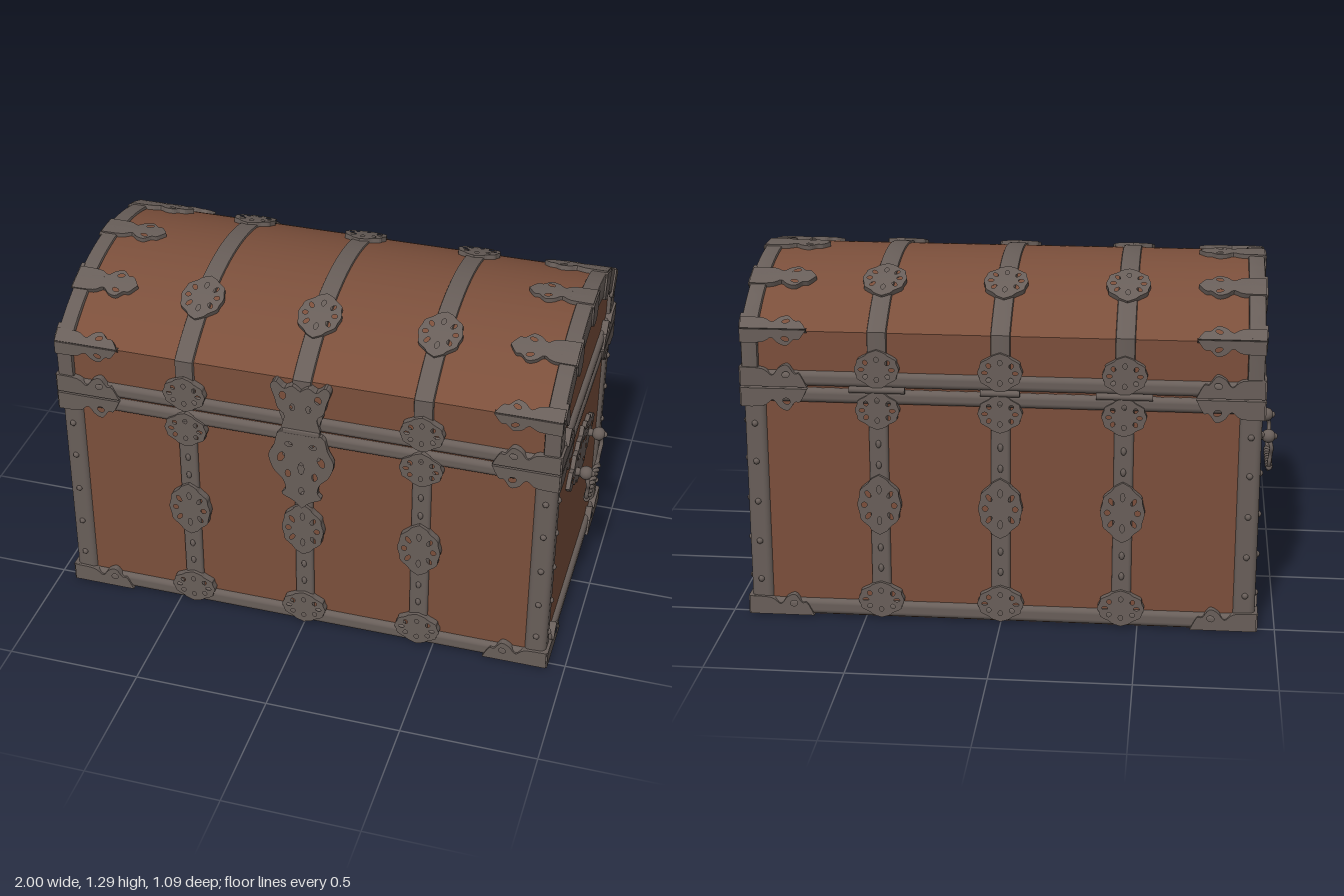
import * as THREE from 'three';
import { mergeGeometries, toCreasedNormals } from 'three/addons/utils/BufferGeometryUtils.js';
import { RoundedBoxGeometry } from 'three/addons/geometries/RoundedBoxGeometry.js';

const V3 = (x, y, z) => new THREE.Vector3(x, y, z);
const R = 0.834, CY = 0.456, CORNER = 0.688; // lid arc: radius, centre height, angle at its edge

// Transform a geometry, keeping faces outward when the matrix mirrors it
function xf(geo, m) {
  const g = geo.index ? geo.toNonIndexed() : geo.clone();
  g.applyMatrix4(m);
  if (m.determinant() < 0) {
    for (const a of Object.values(g.attributes)) {
      const n = a.itemSize, d = a.array;
      for (let i = 0; i < d.length; i += 3 * n)
        for (let k = 0; k < n; k++) [d[i + n + k], d[i + 2 * n + k]] = [d[i + 2 * n + k], d[i + n + k]];
    }
  }
  return g;
}
// Lay a flat ornament on a wall: u, v and outward axes
const put = (geo, o, u, v, n) => xf(geo, new THREE.Matrix4().makeBasis(u, v, n).setPosition(o));
// Wrap a flat ornament round the lid: u runs along x, v runs down the arc
function wrap(geo, x, a, r0, du = 1, dv = 1) {
  const g = xf(geo, new THREE.Matrix4().makeScale(du, dv, 1));
  const p = g.attributes.position;
  for (let i = 0; i < p.count; i++) {
    const t = a + p.getY(i) / R, r = r0 + p.getZ(i);
    p.setXYZ(i, x + p.getX(i), CY + r * Math.cos(t), r * Math.sin(t));
  }
  // (x, arc down, outward) is left-handed, so reverse the corners
  const q = p.array;
  for (let i = 0; i < q.length; i += 9)
    for (let k = 3; k < 6; k++) [q[i + k], q[i + k + 3]] = [q[i + k + 3], q[i + k]];
  // x, down-front and outward already form a right- or left-handed frame; check one cap
  const A = V3().fromArray(q, 0), B = V3().fromArray(q, 3), C = V3().fromArray(q, 6);
  const n = B.sub(A).cross(C.sub(A));
  const outward = n.dot(V3(0, A.y - CY, A.z)) > 0;
  const top = Math.hypot(A.y - CY, A.z) > r0 + 1e-4;
  if (outward !== top)
    for (let i = 0; i < q.length; i += 9)
      for (let k = 3; k < 6; k++) [q[i + k], q[i + k + 3]] = [q[i + k + 3], q[i + k]];
  g.computeVertexNormals();
  return g;
}

const extrude = (shape, depth) => new THREE.ExtrudeGeometry(shape, { depth, bevelEnabled: false, curveSegments: 6 });
const hole = (x, y, rx, ry, rot = 0) => new THREE.Path().absellipse(x, y, rx, ry, 0, Math.PI * 2, true, rot);
const spline = (pts, n = 28) => new THREE.SplineCurve(pts.map(p => new THREE.Vector2(...p))).getPoints(n);
// Closed outline from a half outline mirrored about x = 0
function mirrored(pts) {
  const h = spline(pts);
  return new THREE.Shape([...h, ...h.slice(1, -1).reverse().map(p => new THREE.Vector2(-p.x, p.y))]);
}
// One half of a leaf-shaped corner strap, pointing along +x
function halfLeaf(depth, sv = 1) {
  const pts = [[0, 0.05], [0.08, 0.047], [0.115, 0.03], [0.14, 0.05], [0.17, 0.058], [0.195, 0.036], [0.215, 0.034], [0.24, 0]];
  const s = new THREE.Shape([...spline(pts.map(p => [p[0], p[1] * sv])), new THREE.Vector2(0, 0)]);
  s.holes.push(hole(0.165, 0.033 * sv, 0.014, 0.008 * sv, 0.3));
  return extrude(s, depth);
}
// Pierced strap medallion
function rosette(w, h, depth) {
  const s = mirrored([[0, h], [w * 0.35, h * 0.86], [w * 0.5, h * 0.72], [w * 0.85, h * 0.5], [w * 0.9, h * 0.3],
    [w, 0], [w * 0.9, -h * 0.3], [w * 0.85, -h * 0.5], [w * 0.5, -h * 0.72], [w * 0.35, -h * 0.86], [0, -h]]);
  for (const i of [-1, 1]) {
    s.holes.push(hole(0, i * h * 0.52, w * 0.1, h * 0.14), hole(i * w * 0.68, 0, w * 0.13, h * 0.09));
    for (const j of [-1, 1]) s.holes.push(hole(i * w * 0.5, j * h * 0.36, w * 0.1, h * 0.13, -i * j * 0.6));
  }
  return extrude(s, depth);
}
// Domed lid section
function lidShape(w, side, top, bottom) {
  const r = (w * w + (top - side) ** 2) / (2 * (top - side)), a = Math.asin(w / r);
  const s = new THREE.Shape();
  s.moveTo(-w, bottom);
  s.lineTo(w, bottom);
  s.lineTo(w, side);
  s.absarc(0, top - r, r, Math.PI / 2 - a, Math.PI / 2 + a, false);
  return s;
}
function lidSolid(shape, x0, x1, bevel = 0) {
  const g = new THREE.ExtrudeGeometry(shape, { depth: x1 - x0 - 2 * bevel, curveSegments: 28, bevelEnabled: bevel > 0,
    bevelSize: bevel, bevelThickness: bevel, bevelOffset: -bevel, bevelSegments: 2 });
  return toCreasedNormals(g.rotateY(Math.PI / 2).translate(x0 + bevel, 0, 0), 0.6);
}
const bar = (x0, x1, y0, y1, z0, z1, r) =>
  new RoundedBoxGeometry(x1 - x0, y1 - y0, z1 - z0, 3, r).translate((x0 + x1) / 2, (y0 + y1) / 2, (z0 + z1) / 2);

export function createModel() {
  const group = new THREE.Group();
  const wood = new THREE.MeshStandardMaterial({ name: 'brown wood', color: 0x7b4f3b });
  const iron = new THREE.MeshStandardMaterial({ name: 'grey iron', color: 0x685e59 });
  const both = [1, -1], one = [1];
  // Add parts, repeated by mirroring in x and z
  function add(name, geos, xs = one, zs = one, mat = iron) {
    const list = [];
    for (const g of [geos].flat()) for (const sx of xs) for (const sz of zs) {
      const c = xf(g, new THREE.Matrix4().makeScale(sx, 1, sz));
      c.deleteAttribute('uv');
      list.push(c);
    }
    const mesh = new THREE.Mesh(mergeGeometries(list), mat);
    mesh.name = name;
    group.add(mesh);
  }
  const X = V3(1, 0, 0), Y = V3(0, 1, 0), Z = V3(0, 0, 1), nX = V3(-1, 0, 0), nY = V3(0, -1, 0), nZ = V3(0, 0, -1);

  // Wooden box and lid
  add('body', new THREE.BoxGeometry(1.824, 0.88, 1.024).translate(0, 0.442, 0), one, one, wood);
  add('lid', lidSolid(lidShape(0.512, 1.09, 1.278, 0.883), -0.912, 0.912), one, one, wood);

  // Corner posts, rails and lid end frames
  add('cornerPosts', bar(0.845, 0.926, 0.01, 0.87, 0.443, 0.526, 0.022), both, both);
  for (const [name, y0, y1] of [['bottomRails', 0.004, 0.065], ['bodyRimRails', 0.828, 0.882], ['lidRimRails', 0.889, 0.945]]) {
    add(name, bar(-0.93, 0.93, y0, y1, 0.47, 0.53, 0.02), one, both);
    add(name + 'Ends', bar(0.87, 0.93, y0, y1, -0.53, 0.53, 0.02), both, one);
  }
  const ring = lidShape(0.53, 1.1, 1.288, 0.9);
  ring.holes.push(new THREE.Path(lidShape(0.45, 1.04, 1.19, 0.93).getPoints(24).reverse()));
  add('lidEndFrames', lidSolid(ring, 0.868, 0.928, 0.008), both, one);

  // Rounded clasps over the lid end frames
  const tab = mirrored([[0, 0.105], [0.03, 0.098], [0.05, 0.06], [0.052, 0.02], [0.058, 0], [0, -0.002]]);
  const clasp = (a, s) => put(extrude(tab, 0.014), V3(0.921, CY + 0.83 * Math.cos(a), 0.83 * Math.sin(a)),
    V3(0, -Math.sin(a), Math.cos(a)).multiplyScalar(s), V3(0, -Math.cos(a), -Math.sin(a)), X);
  add('topClasps', clasp(0, 1), both, one);
  add('sideClasps', [clasp(0.35, 1), clasp(0.635, 0.5)], both, both);

  // Leaf straps on the lid and corners
  const leaf = halfLeaf(0.024), low = halfLeaf(0.026, 1.4);
  const leaves = [wrap(leaf, 0.93, 0, 0.814, -1, 1), wrap(leaf, 0.93, 0.365, 0.814, -1, 1), wrap(leaf, 0.93, 0.365, 0.814, -1, -1),
    wrap(leaf, 0.93, CORNER, 0.814, -1, -1), put(leaf, V3(0.93, 1.1, 0.511), nX, nY, Z)];
  add('lidLeafStraps', leaves, both, both);
  const corners = [];
  for (const [y, v] of [[0.004, Y], [0.882, nY], [0.889, Y]])
    corners.push(put(low, V3(0.932, y, 0.511), nX, v, Z), put(low, V3(0.911, y, 0.532), nZ, v, X));
  add('cornerLeafStraps', corners, both, both);

  // Corner plates under the floor
  const foot = new THREE.Shape(spline([[0.2, 0], [0.17, 0.05], [0.11, 0.09], [0.06, 0.14], [0, 0.19]], 12).concat(new THREE.Vector2(0, 0)));
  add('footPlates', put(extrude(foot, 0.006), V3(0.928, 0.006, 0.528), nX, nZ, nY), both, both);

  // Vertical straps carried over the lid, with medallions
  for (const [name, x, xs] of [['sideStraps', 0.44, both], ['middleStrap', 0, one]]) {
    add(name + 'Body', bar(x - 0.035, x + 0.035, 0.01, 0.87, 0.49, 0.526, 0.012), xs, both);
    add(name + 'Lid', lidSolid(lidShape(0.526, 1.096, 1.286, 0.892), x - 0.035, x + 0.035, 0.008), xs, one);
    const set = [[0.45, 0.08, 0.115], [0.078, 0.085, 0.07], [0.81, 0.08, 0.072], [0.962, 0.08, 0.072]]
      .map(([y, w, h]) => put(rosette(w, h, 0.03), V3(x, y, 0.509), X, Y, Z));
    set.push(wrap(rosette(0.08, 0.1, 0.026), x, 0.368, 0.812));
    add(name + 'Medallions', set, xs, both);
    add(name + 'Studs', [0.2, 0.28, 0.6, 0.68].map(y => new THREE.SphereGeometry(0.01, 8, 6).scale(1, 1.5, 0.8).translate(x, y, 0.526)), xs, both);
  }

  // Post rivets
  const rivet = new THREE.SphereGeometry(0.012, 8, 6);
  add('rivets', [0.14, 0.29, 0.445, 0.6, 0.745].flatMap(y =>
    [rivet.clone().translate(0.888, y, 0.525), rivet.clone().translate(0.925, y, 0.486)]), both, both);

  // Lock plate, hasp and back hinges
  const lock = mirrored([[0, 0.31], [0.08, 0.31], [0.1, 0.25], [0.122, 0.2], [0.105, 0.14], [0.07, 0.1], [0.06, 0.06], [0.075, 0.035], [0.03, 0.01], [0, -0.02]]);
  lock.holes.push(hole(0, 0.16, 0.011, 0.026), hole(0, 0.06, 0.01, 0.016));
  for (const i of both) lock.holes.push(hole(i * 0.075, 0.2, 0.012, 0.022, i * 0.4), hole(i * 0.05, 0.13, 0.01, 0.016), hole(i * 0.045, 0.26, 0.014, 0.01));
  add('lockPlate', put(extrude(lock, 0.02), V3(0, 0.572, 0.526), X, Y, Z));
  const hasp = mirrored([[0, 0.17], [0.03, 0.19], [0.06, 0.175], [0.09, 0.2], [0.11, 0.18], [0.095, 0.13], [0.085, 0.09], [0.06, 0.06], [0.07, 0], [0, 0]]);
  for (const i of both) hasp.holes.push(hole(i * 0.065, 0.145, 0.012, 0.016), hole(i * 0.03, 0.1, 0.009, 0.014));
  add('hasp', put(extrude(hasp, 0.034), V3(0, 0.892, 0.51), X, Y, Z));
  add('haspKnuckle', bar(-0.07, 0.07, 0.876, 0.9, 0.52, 0.548, 0.008));
  const barrel = l => new THREE.CylinderGeometry(0.012, 0.012, l, 10).rotateZ(Math.PI / 2);
  add('sideHinges', barrel(0.2).translate(0.44, 0.885, -0.533), both);
  add('middleHinge', barrel(0.14).translate(0, 0.885, -0.533));

  // Pierced handle plates
  const plate = mirrored([[0, 0.115], [0.025, 0.085], [0.07, 0.09], [0.1, 0.07], [0.14, 0.075], [0.17, 0.035], [0.2, 0.04], [0.25, 0],
    [0.2, -0.04], [0.17, -0.03], [0.13, -0.065], [0.1, -0.06], [0.07, -0.095], [0.025, -0.09], [0, -0.12]]);
  plate.holes.push(hole(0, 0.06, 0.01, 0.018));
  for (const i of both) {
    plate.holes.push(hole(i * 0.19, 0, 0.02, 0.009), hole(i * 0.045, -0.065, 0.013, 0.009));
    for (const [x, y] of [[0.05, 0.06], [0.1, 0.043], [0.06, 0.02], [0.085, -0.03]]) plate.holes.push(hole(i * x, y, 0.016, 0.009, -i * 0.5));
  }
  add('handlePlates', put(extrude(plate, 0.018), V3(0.91, 0.62, 0), nZ, Y, X), both);

  // Handle knobs, arms and twisted grip
  const ball = (r, x, y, z) => new THREE.SphereGeometry(r, 14, 10).translate(x, y, z);
  const tube = (pts, r, n = 14) => new THREE.TubeGeometry(new THREE.CatmullRomCurve3(pts), n, r, 7);
  add('handleKnobs', [ball(0.026, 0.966, 0.62, 0.13), ball(0.012, 0.988, 0.62, 0.13), ball(0.012, 0.973, 0.49, 0.112),
    new THREE.CylinderGeometry(0.012, 0.018, 0.05, 10).rotateZ(-Math.PI / 2).translate(0.94, 0.62, 0.13)], both, both);
  add('handleArms', tube([V3(0.966, 0.615, 0.13), V3(0.978, 0.58, 0.142), V3(0.976, 0.545, 0.125), V3(0.973, 0.515, 0.125), V3(0.973, 0.488, 0.108)], 0.008), both, both);
  add('handleGrips', [0, Math.PI].map(p => tube(Array.from({ length: 41 }, (_, i) => {
    const t = i / 40, a = p + t * Math.PI * 8;
    return V3(0.973 + 0.007 * Math.cos(a), 0.486 + 0.007 * Math.sin(a), -0.11 + 0.22 * t);
  }), 0.008, 80)), both);
  return group;
}
